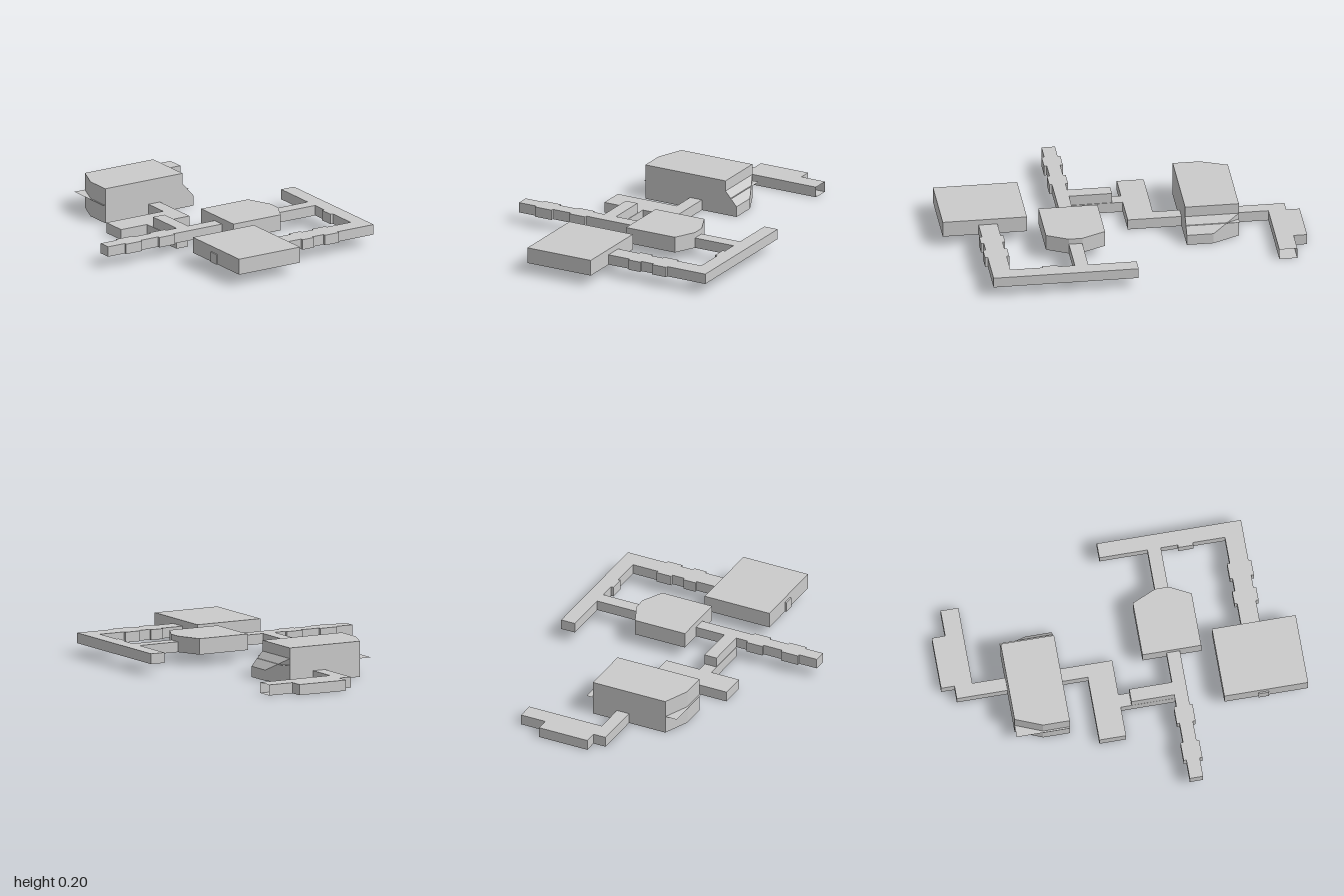
import * as THREE from 'three';

const LOW = [0, 0.06], HIGH = [0.062, 0.12], ROOM = [0.062, 0.152];

export function createModel() {
  const group = new THREE.Group();
  const mat = new THREE.MeshStandardMaterial({ color: 0xcccccc, flatShading: true });
  const thin = new THREE.MeshStandardMaterial({ color: 0xcccccc, flatShading: true, side: THREE.DoubleSide });

  const add = (name, geometry, material = mat) => {
    const mesh = new THREE.Mesh(geometry, material);
    mesh.name = name;
    group.add(mesh);
    return mesh;
  };
  // Box given by its x range, z range and level
  const block = (name, x0, x1, z0, z1, [y0, y1], material) => {
    const mesh = add(name, new THREE.BoxGeometry(x1 - x0, y1 - y0, z1 - z0), material);
    mesh.position.set((x0 + x1) / 2, (y0 + y1) / 2, (z0 + z1) / 2);
    return mesh;
  };

  // Lower level corridors
  block('lowerJunction', -0.4, 0.05, -0.19, -0.04, LOW);
  block('hallFrontPassage', -0.025, 0.05, -0.35, -0.19, LOW);
  block('hallBackPassage', -0.025, 0.05, -0.825, -0.63, LOW);
  block('backAlcove', 0.05, 0.35, -1, -0.925, LOW);
  // Back corridor, open at its +x end
  const back = block('backCorridor', -0.025, 0.5, -0.925, -0.825, LOW, thin);
  back.geometry.setIndex(Array.from(back.geometry.index.array).slice(6));

  // Step between the levels
  block('lowerStep', -0.23, -0.155, -0.04, 0.26, LOW);
  block('upperStep', -0.23, -0.155, 0.02, 0.26, HIGH);

  // Upper level corridors
  block('crossCorridor', -0.73, 0.635, 0.26, 0.335, HIGH);
  block('sideCorridor', 0.635, 0.72, -0.01, 0.8, HIGH);
  block('frontCorridor', 0.1, 0.635, 0.695, 0.8, HIGH);

  // Wall niches
  for (const [x0, x1] of [[-0.62, -0.515], [-0.4, -0.3]]) block('crossNiche', x0, x1, 0.245, 0.35, HIGH);
  for (const [x0, x1] of [[0.24, 0.315], [0.39, 0.48]]) block('frontNiche', x0, x1, 0.68, 0.815, HIGH);
  block('sideNiche', 0.62, 0.64, 0.43, 0.515, HIGH);

  // Front room with a small doorway
  block('frontRoom', -0.297, 0.105, 0.53, 1, ROOM);
  block('doorway', -0.305, -0.29, 0.72, 0.78, HIGH);

  // Middle room, tapered towards +x
  const outline = [[0.02, 0.125], [0.33, 0.125], [0.39, 0.26], [0.39, 0.335], [0.33, 0.455], [0.02, 0.455]];
  const shape = new THREE.Shape(outline.map(([x, z]) => new THREE.Vector2(x, -z)));
  const room = new THREE.ExtrudeGeometry(shape, { depth: ROOM[1] - ROOM[0], bevelEnabled: false });
  add('middleRoom', room.rotateX(-Math.PI / 2).translate(0, ROOM[0], 0));

  // Great hall: stacked outlines, flared out at the base on the +x side
  const left = [[-0.25, -0.64], [-0.31, -0.49], [-0.31, -0.34]];
  const wide = [...left, [0.27, -0.34], [0.27, -0.49], [0.2, -0.64]];
  const narrow = [...left, [0.2, -0.34], [0.2, -0.56], [0.2, -0.64]];
  const rings = [[0, wide], [0.06, wide], [0.14, narrow], [0.2, narrow]];
  const pos = rings.flatMap(([y, ring]) => ring.flatMap(([x, z]) => [x, y, z]));
  const n = wide.length, top = 3 * n, index = [];
  for (let r = 0; r < 3; r++) {
    for (let i = 0; i < n; i++) {
      const a = r * n + i, b = r * n + (i + 1) % n;
      index.push(a, b, b + n, a, b + n, a + n);
    }
  }
  for (let i = 1; i < n - 1; i++) index.push(0, i + 1, i, top, top + i, top + i + 1);
  const hall = new THREE.BufferGeometry();
  hall.setAttribute('position', new THREE.Float32BufferAttribute(pos, 3));
  hall.setIndex(index);
  hall.computeVertexNormals();
  add('greatHall', hall);

  // Thin floor inside the hall
  const floor = add('hallFloor', new THREE.PlaneGeometry(0.56, 0.3).rotateX(-Math.PI / 2), thin);
  floor.position.set(-0.04, 0.103, -0.49);

  return group;
}
